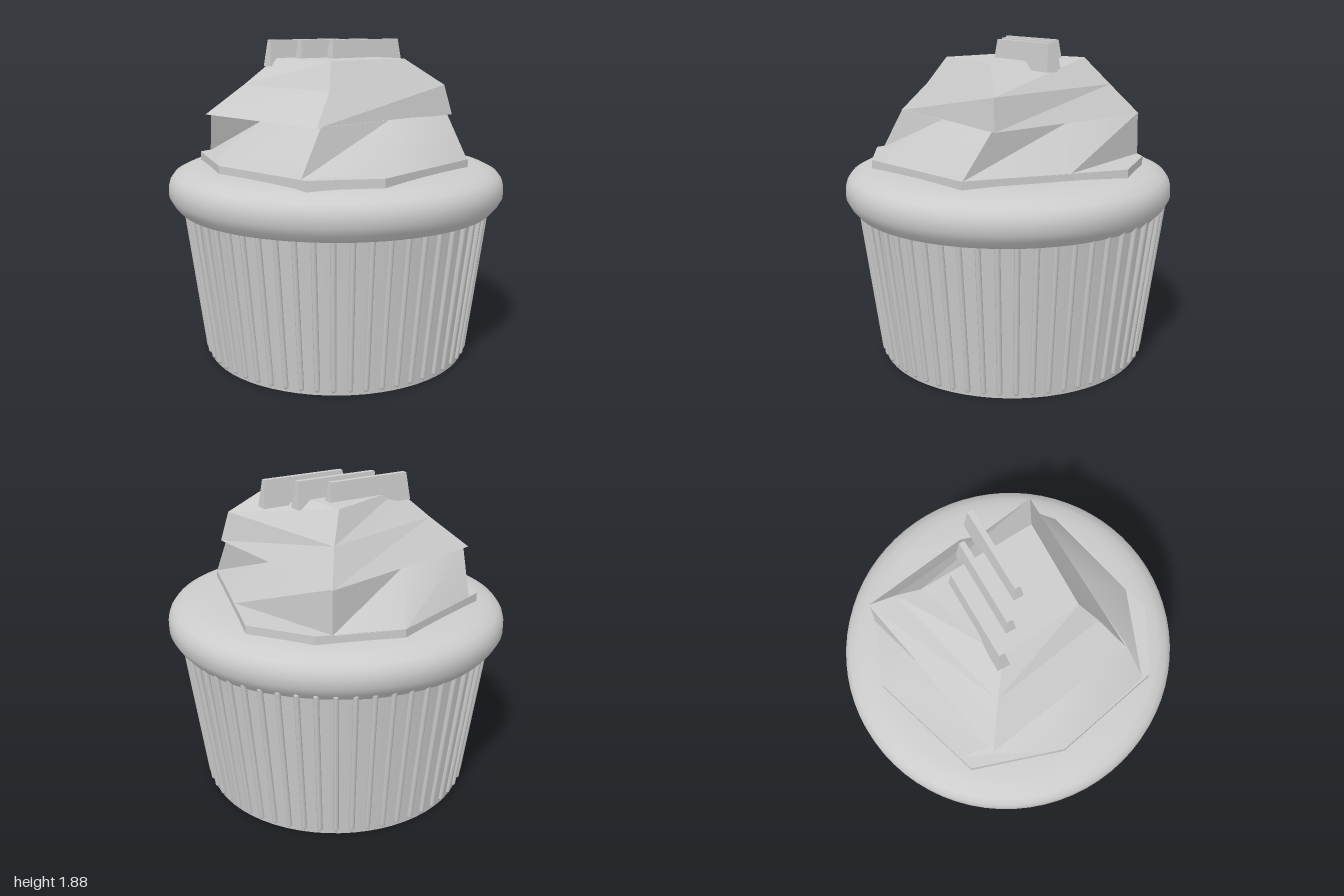
import * as THREE from 'three';
import { toCreasedNormals } from 'three/addons/utils/BufferGeometryUtils.js';

const V2 = (a) => a.map(([x, y]) => new THREE.Vector2(x, y));

// Joins cross-sections { y, pts: [[x, z], ...] } from bottom to top and closes both ends.
function loft(rings, crease) {
  const n = rings[0].pts.length;
  const pos = [];
  const index = [];
  rings.forEach(({ y, pts }) => pts.forEach(([x, z]) => pos.push(x, y, z)));
  for (let r = 0; r < rings.length - 1; r++) {
    for (let i = 0; i < n; i++) {
      const a = r * n + i, b = r * n + (i + 1) % n;
      index.push(a, b, b + n, a, b + n, a + n);
    }
  }
  [0, rings.length - 1].forEach((r) => {
    const { y, pts } = rings[r];
    const c = pos.length / 3;
    pos.push(pts.reduce((s, p) => s + p[0], 0) / n, y, pts.reduce((s, p) => s + p[1], 0) / n);
    for (let i = 0; i < n; i++) {
      const a = r * n + i, b = r * n + (i + 1) % n;
      if (r === 0) index.push(c, b, a);
      else index.push(c, a, b);
    }
  });
  const g = new THREE.BufferGeometry();
  g.setAttribute('position', new THREE.Float32BufferAttribute(pos, 3));
  g.setIndex(index);
  return toCreasedNormals(g, crease);
}

export function createModel() {
  const model = new THREE.Group();
  model.name = 'cupcake';
  const grey = new THREE.MeshStandardMaterial({ color: 0xcccccc });
  grey.name = 'plain grey';
  const add = (geometry, name, parent = model) => {
    const mesh = new THREE.Mesh(geometry, grey);
    mesh.name = name;
    parent.add(mesh);
    return mesh;
  };

  // Paper cup: tapered body with a closed base
  const cup = new THREE.Group();
  cup.name = 'paperCup';
  cup.position.z = -0.02;
  model.add(cup);
  const body = new THREE.LatheGeometry(V2([[0, 0], [0.793, 0], [0.9, 0.95]]), 64);
  add(toCreasedNormals(body, 0.6), 'cupBody', cup);

  // Rounded ribs leaning outward with the wall
  const ribs = 56;
  const low = new THREE.Vector2(0.797, 0.035), high = new THREE.Vector2(0.908, 0.925);
  const ribGeometry = new THREE.CapsuleGeometry(0.016, low.distanceTo(high), 3, 8);
  ribGeometry.rotateZ(-Math.atan2(high.x - low.x, high.y - low.y));
  ribGeometry.translate((low.x + high.x) / 2, (low.y + high.y) / 2, 0);
  for (let i = 0; i < ribs; i++) {
    add(ribGeometry, 'cupRib', cup).rotation.y = ((i + 0.5) / ribs) * Math.PI * 2;
  }

  // Overhanging cake rim, slightly narrower front to back
  const rim = new THREE.LatheGeometry(V2([
    [0, 0.9], [0.94, 0.9], [0.975, 0.94], [1, 0.985], [1, 1.04], [0.99, 1.075],
    [0.965, 1.108], [0.91, 1.135], [0.84, 1.153], [0.7, 1.163], [0, 1.165],
  ]), 72);
  rim.scale(1, 1, 0.968);
  add(toCreasedNormals(rim, 0.6), 'cakeRim');

  // Thin irregular icing slab
  const plate = [[-0.835, -0.025], [-0.62, 0.455], [-0.09, 0.845], [0.31, 0.755],
    [0.78, 0.135], [0.365, -0.715], [-0.025, -0.8], [-0.475, -0.63]];
  add(loft([{ y: 1.14, pts: plate }, { y: 1.203, pts: plate }], 0.3), 'icingBase');

  // Twisted middle swirl narrowing to a square
  add(loft([
    { y: 1.2, pts: [[-0.79, -0.1], [-0.62, 0.455], [-0.12, 0.81], [0.4, 0.63],
      [0.775, 0.13], [0.515, -0.41], [-0.11, -0.77], [-0.475, -0.63]] },
    { y: 1.45, pts: [[-0.74, 0.08], [-0.38, 0.36], [-0.03, 0.66], [0.32, 0.33],
      [0.66, -0.01], [0.29, -0.38], [-0.11, -0.765], [-0.43, -0.34]] },
  ], 0.6), 'icingMiddle');

  // Faceted upper swirl
  add(loft([
    { y: 1.445, pts: [[-0.77, 0.09], [-0.05, 0.67], [0.69, -0.025], [-0.11, -0.77]] },
    { y: 1.62, pts: [[-0.54, 0.065], [0, 0.49], [0.64, -0.015], [-0.09, -0.595]] },
    { y: 1.775, pts: [[-0.35, 0.05], [0, 0.37], [0.4, 0.04], [-0.09, -0.44]] },
  ], 0.1), 'icingTop');

  // Three tapered bars laid diagonally across the top
  const bar = (w, l) => [[-l, -w], [-l, w], [l, w], [l, -w]];
  const barGeometry = loft([
    { y: 1.727, pts: bar(0.036, 0.268) }, { y: 1.88, pts: bar(0.016, 0.25) },
  ], 0.1);
  [-0.2, -0.02, 0.165].forEach((x) => {
    const mesh = add(barGeometry, 'toppingBar');
    mesh.position.set(x, 0, -0.113);
    mesh.rotation.y = 0.73;
  });
  return model;
}
